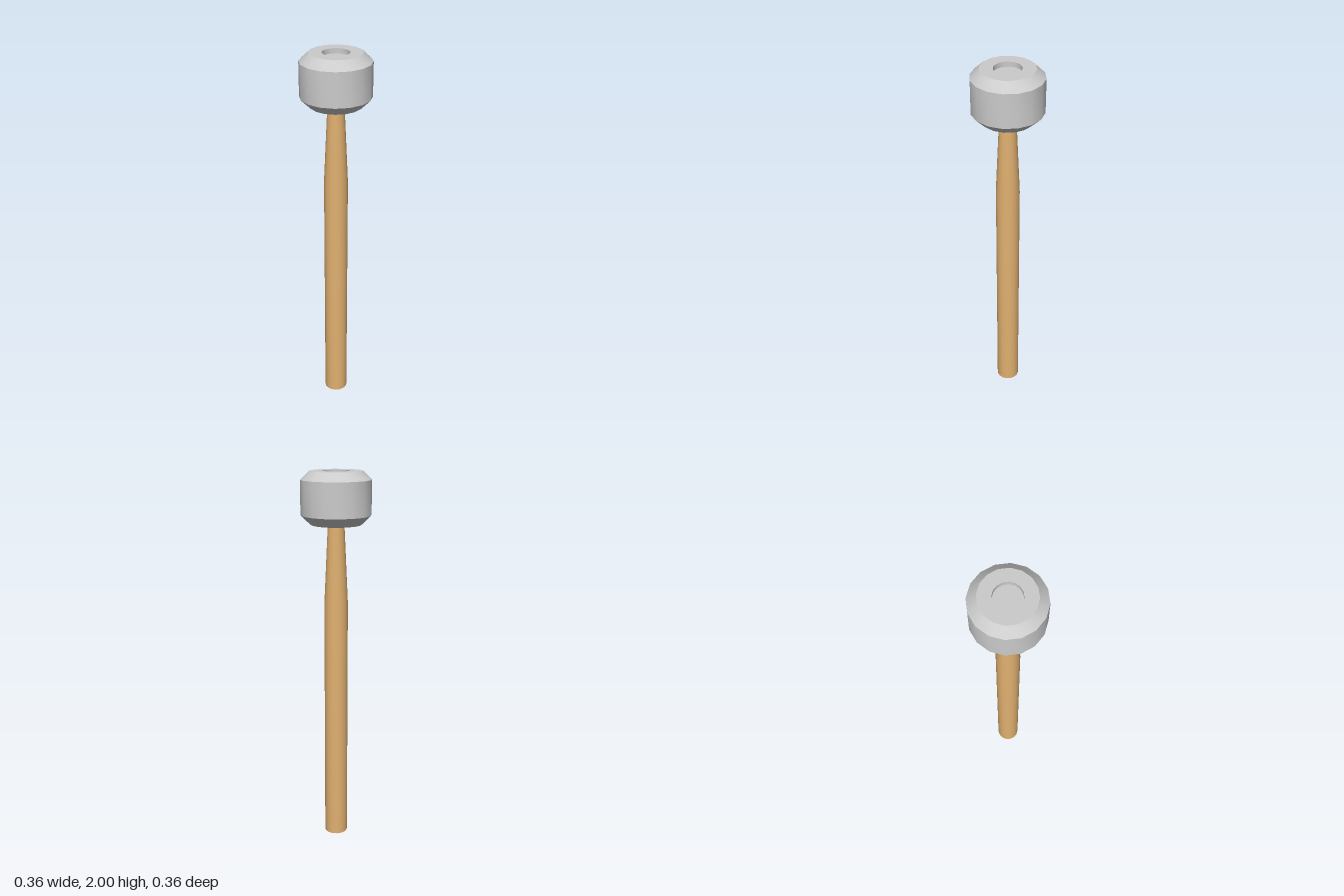
import * as THREE from 'three';
import { toCreasedNormals } from 'three/addons/utils/BufferGeometryUtils.js';

const SIDES = 16;

// Turned solid from [radius, y] points listed bottom to top, smooth around and sharp at the chamfers
function turned(name, profile, color) {
  const points = profile.map(([r, y]) => new THREE.Vector2(r, y));
  const geometry = toCreasedNormals(new THREE.LatheGeometry(points, SIDES), 0.5);
  const mesh = new THREE.Mesh(geometry, new THREE.MeshStandardMaterial({ color }));
  mesh.name = name;
  return mesh;
}

export function createModel() {
  const group = new THREE.Group();
  group.name = 'mallet';

  // Wooden handle: straight grip, then a taper into the head
  group.add(turned('handle', [
    [0, 0], [0.062, 0], [0.062, 1.32], [0.042, 1.75], [0, 1.75],
  ], 0xe0b070));

  // Chamfered head with a shallow round recess in the top
  group.add(turned('head', [
    [0, 1.732], [0.132, 1.732], [0.182, 1.78], [0.182, 1.957],
    [0.136, 2], [0.07, 2], [0.07, 1.974], [0, 1.974],
  ], 0xcccccc));

  return group;
}
